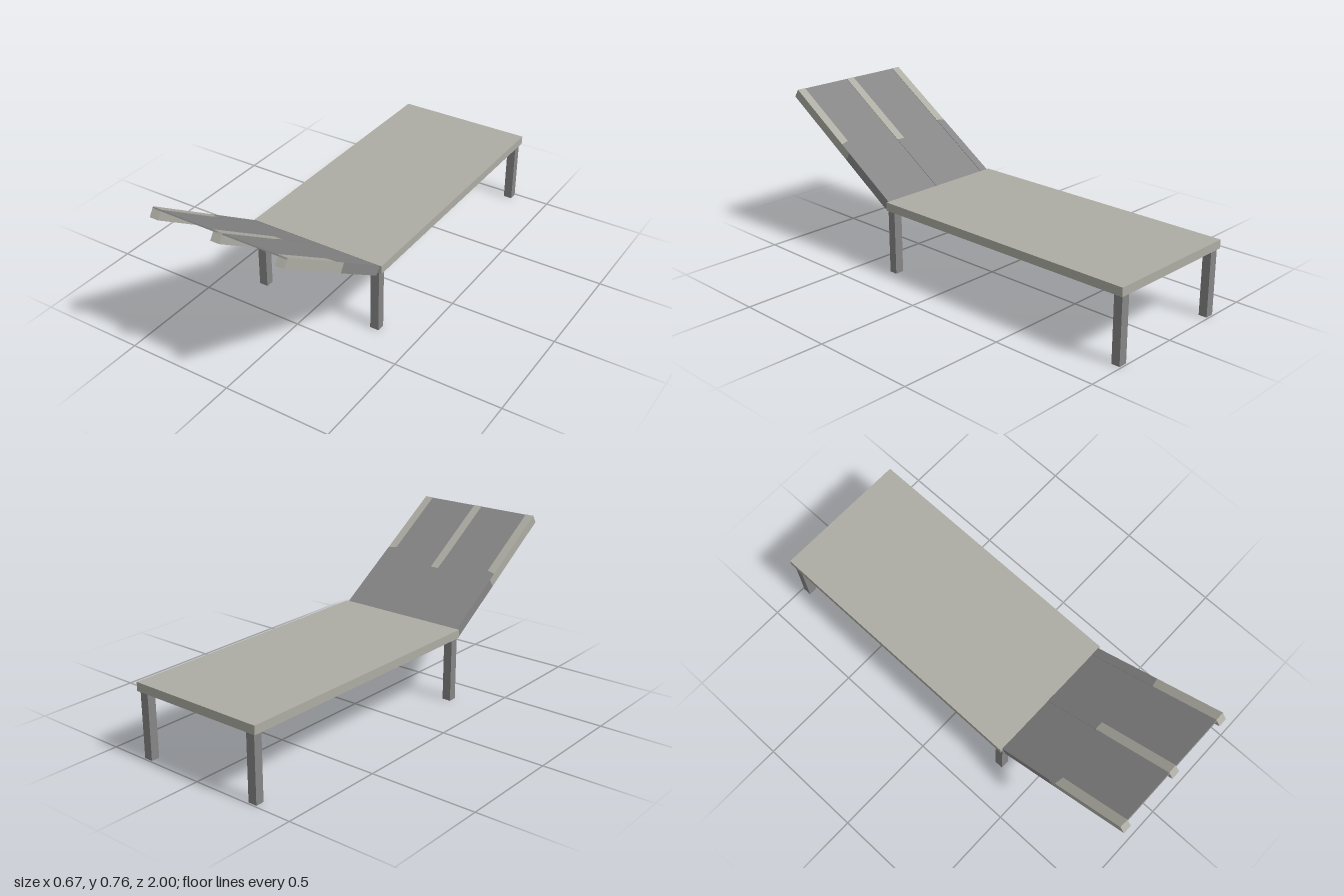
import * as THREE from 'three';

export function createModel() {
  const model = new THREE.Group();
  model.name = 'sunLounger';

  const warm = new THREE.MeshStandardMaterial({ color: 0xaeada4 });
  warm.name = 'warmGrey';
  const grey = new THREE.MeshStandardMaterial({ color: 0x868686 });
  grey.name = 'neutralGrey';

  const box = (parent, name, size, pos, material) => {
    const mesh = new THREE.Mesh(new THREE.BoxGeometry(...size), material);
    mesh.position.set(...pos);
    mesh.name = name;
    parent.add(mesh);
  };

  // Bed slab
  box(model, 'bed', [0.667, 0.04, 1.345], [0, 0.325, -0.3275], warm);

  // Four legs
  for (const x of [-0.301, 0.301]) {
    for (const z of [-0.972, 0.325]) {
      box(model, z > 0 ? 'frontLeg' : 'backLeg', [0.042, 0.306, 0.04], [x, 0.153, z], grey);
    }
  }

  // Backrest, hinged at the front end of the bed; local z runs up the slope
  const backrest = new THREE.Group();
  backrest.name = 'backrest';
  backrest.position.set(0, 0.343, 0.341);
  backrest.rotation.x = -THREE.MathUtils.degToRad(33);
  model.add(backrest);

  const length = 0.757, depth = 0.045, half = 0.021;
  box(backrest, 'backPanel', [0.643, 0.006, length], [0, -0.005, length / 2], grey);

  // Each quad is four corners, anticlockwise from outside
  const quads = (name, list, material) => {
    const points = list.flatMap(([a, b, c, d]) => [a, b, c, a, c, d]);
    const geometry = new THREE.BufferGeometry().setFromPoints(points);
    geometry.computeVertexNormals();
    const mesh = new THREE.Mesh(geometry, material);
    mesh.name = name;
    return mesh;
  };

  // Rail with a grey lower part and a warm tip; cuts give the colour break
  // at both edges of the right, top, left and bottom faces
  const rail = (name, x, cuts) => {
    const ring = [[x + half, -depth], [x + half, 0], [x - half, 0], [x - half, -depth]];
    const at = (i, z) => new THREE.Vector3(...ring[i % 4], z);
    const lower = [[3, 2, 1, 0].map((i) => at(i, 0))];
    const tip = [[0, 1, 2, 3].map((i) => at(i, length))];
    cuts.forEach(([a, b], i) => {
      lower.push([at(i, 0), at(i + 1, 0), at(i + 1, b), at(i, a)]);
      tip.push([at(i, a), at(i + 1, b), at(i + 1, length), at(i, length)]);
    });
    const group = new THREE.Group();
    group.name = name;
    group.add(quads('railLower', lower, grey), quads('railTip', tip, warm));
    backrest.add(group);
  };

  rail('rightRail', -0.301, [[0.4, 0.4], [0.37, 0.36], [0.32, 0.32], [0.39, 0.49]]);
  rail('middleRail', 0, [[0.37, 0.37], [0.32, 0.32], [0.37, 0.37], [0.41, 0.41]]);
  rail('leftRail', 0.301, [[0.32, 0.32], [0.38, 0.39], [0.4, 0.4], [0.57, 0.45]]);

  return model;
}
